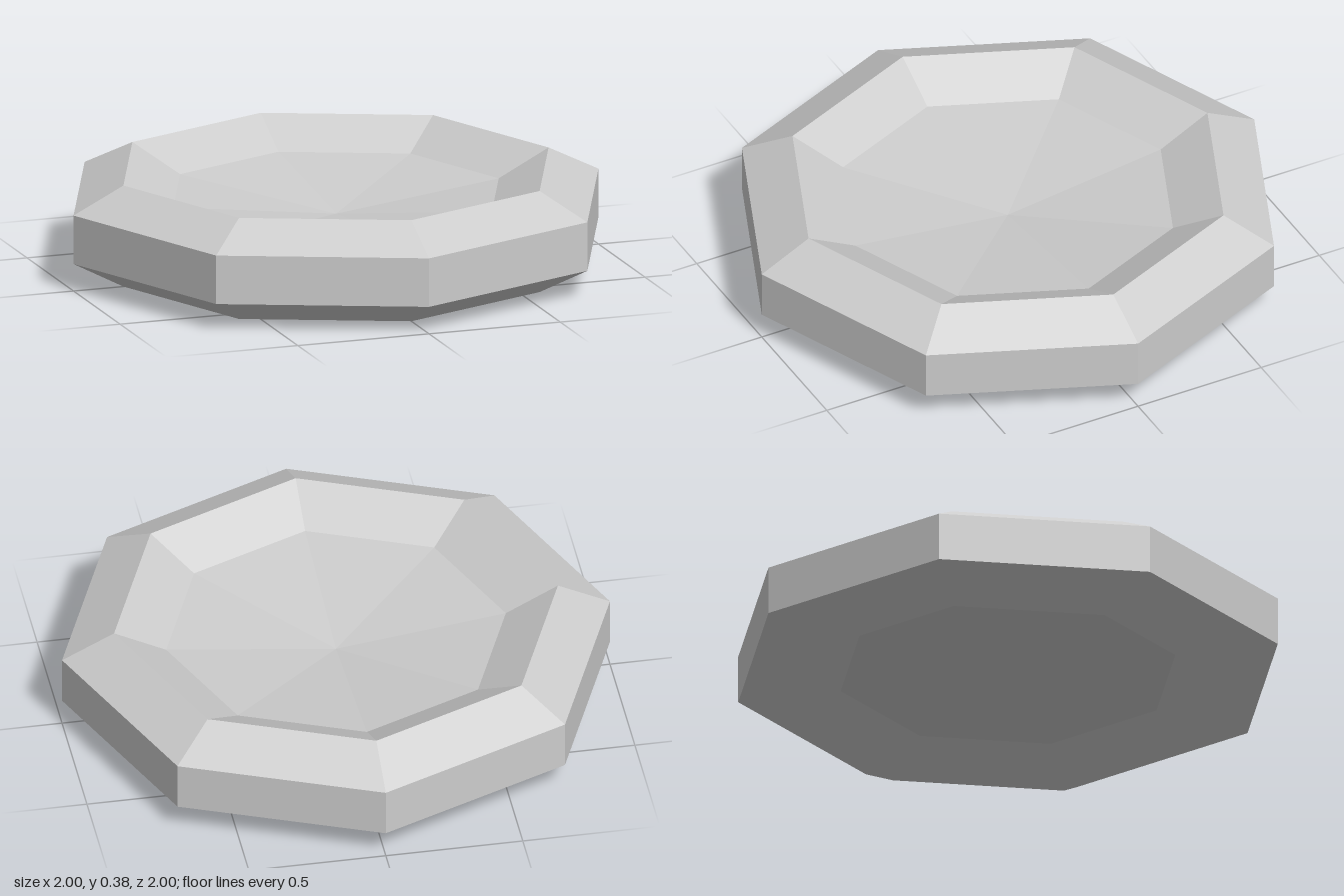
import * as THREE from 'three';

const SIDES = 8;

export function createModel() {
  const model = new THREE.Group();
  model.name = 'octagonalDish';

  const grey = new THREE.MeshStandardMaterial({ color: 0xcccccc, flatShading: true });
  grey.name = 'light grey';

  // Revolve a radius/height profile (listed bottom to top on the outside) into a faceted ring
  const addPart = (name, profile) => {
    const points = profile.map(([r, y]) => new THREE.Vector2(r, y));
    const geometry = new THREE.LatheGeometry(points, SIDES).toNonIndexed();
    geometry.computeVertexNormals();
    const mesh = new THREE.Mesh(geometry, grey);
    mesh.name = name;
    model.add(mesh);
  };

  // Bevelled rim: inner foot slope, outer bevels and wall, inner lip slope
  addPart('rim', [[0.62, 0.1], [0.81, 0], [1, 0.1], [1, 0.28], [0.81, 0.375], [0.62, 0.277]]);
  // Shallow hollow on top and matching recess below
  addPart('dishFloor', [[0.62, 0.277], [0, 0.2]]);
  addPart('underside', [[0, 0.16], [0.62, 0.1]]);

  return model;
}
